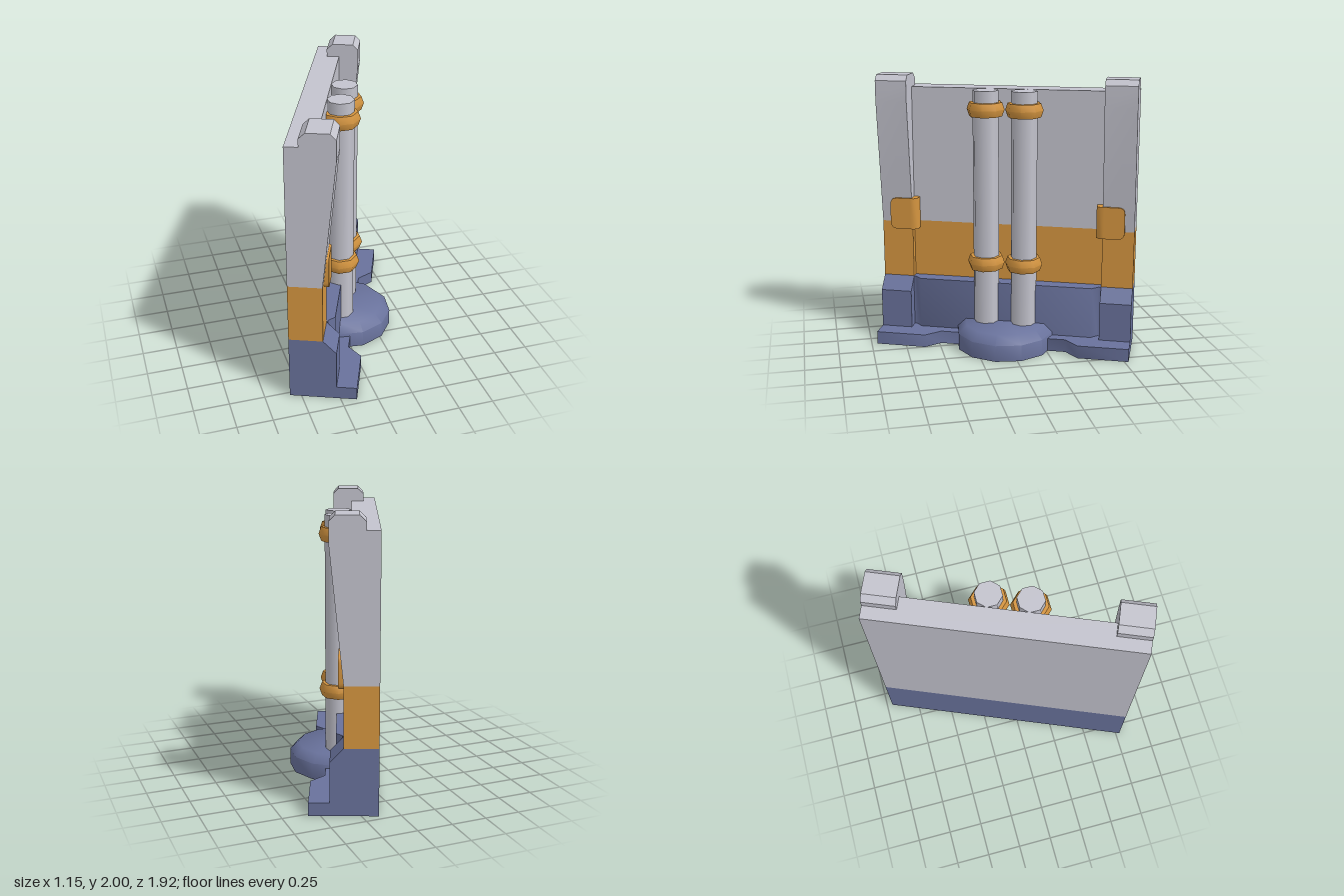
import * as THREE from 'three';
import { toCreasedNormals } from 'three/addons/utils/BufferGeometryUtils.js';

const mat = (name, color) => Object.assign(new THREE.MeshStandardMaterial({ color }), { name });

const HALF = 0.94;      // half length of the wall
const INNER = 0.71;     // inner face of the end posts
const BACK = -0.235;    // back plane
const PANEL = -0.05;    // front plane of the panel
const POST_W = HALF - INNER;

const toShape = (pts) => new THREE.Shape(pts.map(([x, y]) => new THREE.Vector2(x, y)));
const extrude = (shape, depth) =>
  new THREE.ExtrudeGeometry(shape, { depth, bevelEnabled: false, curveSegments: 5 });

// floor plan (x, z) raised from y0 to y1
function planGeometry(pts, y0, y1) {
  const g = extrude(toShape(pts.map(([x, z]) => [x, -z])), y1 - y0);
  g.rotateX(-Math.PI / 2).translate(0, y0, 0);
  return toCreasedNormals(g, 0.9);
}

// side profile (z, y) swept along x from x0 to x1
function profileGeometry(pts, x0, x1) {
  const g = extrude(toShape(pts), x1 - x0);
  g.rotateY(-Math.PI / 2).translate(x1, 0, 0);
  return toCreasedNormals(g, 0.3);
}

function boxGeometry(x0, x1, y0, y1, z0, z1) {
  return new THREE.BoxGeometry(x1 - x0, y1 - y0, z1 - z0)
    .translate((x0 + x1) / 2, (y0 + y1) / 2, (z0 + z1) / 2);
}

export function createModel() {
  const grey = mat('light grey', 0xc4c4ce);
  const orange = mat('orange', 0xd69640);
  const blue = mat('slate blue', 0x69729c);

  const model = new THREE.Group();
  model.name = 'wallSection';
  const wall = new THREE.Group();
  wall.name = 'wall';
  wall.rotation.y = THREE.MathUtils.degToRad(67.5);
  model.add(wall);

  const add = (name, geometry, material, parent = wall) => {
    const mesh = new THREE.Mesh(geometry, material);
    mesh.name = name;
    parent.add(mesh);
    return mesh;
  };

  // base slab with a recessed middle front
  add('baseSlab', planGeometry([
    [-HALF, BACK], [HALF, BACK], [HALF, 0.235], [0.57, 0.235], [0.47, 0.135],
    [-0.47, 0.135], [-0.57, 0.235], [-HALF, 0.235],
  ], 0, 0.095), blue);

  // thick lower wall with chamfered ends
  add('lowerWall', planGeometry([
    [-INNER, BACK], [INNER, BACK], [INNER, 0.01], [0.69, 0.01], [0.645, 0.055],
    [-0.645, 0.055], [-0.69, 0.01], [-INNER, 0.01],
  ], 0.095, 0.475), blue);

  // panel: orange band (grey at the back) and grey upper part
  add('orangeBand', boxGeometry(-HALF, HALF, 0.475, 0.9, BACK, PANEL),
    [orange, orange, orange, orange, orange, grey]);
  add('upperPanel', boxGeometry(-HALF, HALF, 0.9, 1.905, BACK, PANEL), grey);

  // end posts with clips
  const footProfile = [[BACK, 0.095], [0.092, 0.095], [0.092, 0.38], [0, 0.475], [BACK, 0.475]];
  const postProfile = [
    [PANEL, 0.9], [0, 0.9], [0.092, 1.81], [0.092, 1.96], [0.054, 2],
    [-0.1, 2], [-0.143, 1.96], [-0.143, 1.905], [PANEL, 1.905],
  ];
  for (const s of [-1, 1]) {
    const post = new THREE.Group();
    post.name = s > 0 ? 'backPost' : 'frontPost';
    wall.add(post);
    const x0 = s > 0 ? INNER : -HALF;
    const x1 = x0 + POST_W;
    add('postFoot', profileGeometry(footProfile, x0, x1), blue, post);
    add('postBand', boxGeometry(x0, x1, 0.475, 0.9, PANEL, 0), orange, post);
    add('postUpper', profileGeometry(postProfile, x0, x1), grey, post);

    // clip wrapped round the inner corner of the post
    add('clipSide', planGeometry([
      [s * 0.665, PANEL], [s * 0.665, 0.01], [s * 0.69, 0.035],
      [s * 0.72, 0.035], [s * 0.72, PANEL],
    ], 0.85, 1.085), orange, post);
    const plate = new THREE.Shape();
    plate.moveTo(s * 0.72, 0.85);
    plate.lineTo(s * 0.82, 0.85);
    plate.quadraticCurveTo(s * 0.87, 0.85, s * 0.87, 0.9);
    plate.lineTo(s * 0.87, 1.035);
    plate.quadraticCurveTo(s * 0.87, 1.085, s * 0.82, 1.085);
    plate.lineTo(s * 0.72, 1.085);
    const plateGeo = extrude(plate, 0.045).translate(0, 0, -0.01);
    add('clipPlate', toCreasedNormals(plateGeo, 0.6), orange, post);
  }

  // half-round foot under the pipes
  const footPts = [[0, 0], [0.36, 0], [0.36, 0.12], [0.297, 0.18], [0, 0.18]]
    .map(([r, y]) => new THREE.Vector2(r, y));
  const foot = new THREE.LatheGeometry(footPts, 6, -Math.PI / 2, Math.PI).translate(0, 0, 0.05);
  add('pipeFoot', toCreasedNormals(foot, 0.9), blue);

  // pair of eight-sided pipes with collars
  const collarPts = [[0.09, -0.05], [0.12, -0.05], [0.138, 0], [0.12, 0.05], [0.09, 0.05]]
    .map(([r, y]) => new THREE.Vector2(r, y));
  const collar = toCreasedNormals(new THREE.LatheGeometry(collarPts, 8), 0.9);
  const pipeGeo = new THREE.CylinderGeometry(0.095, 0.095, 1.755, 8);
  for (const s of [-1, 1]) {
    const pipe = new THREE.Group();
    pipe.name = s > 0 ? 'backPipe' : 'frontPipe';
    pipe.position.set(s * 0.14, 0, 0.043);
    wall.add(pipe);
    add('tube', pipeGeo, grey, pipe).position.y = 0.15 + 1.755 / 2;
    for (const y of [0.638, 1.77]) add('collar', collar, orange, pipe).position.y = y;
  }

  return model;
}
